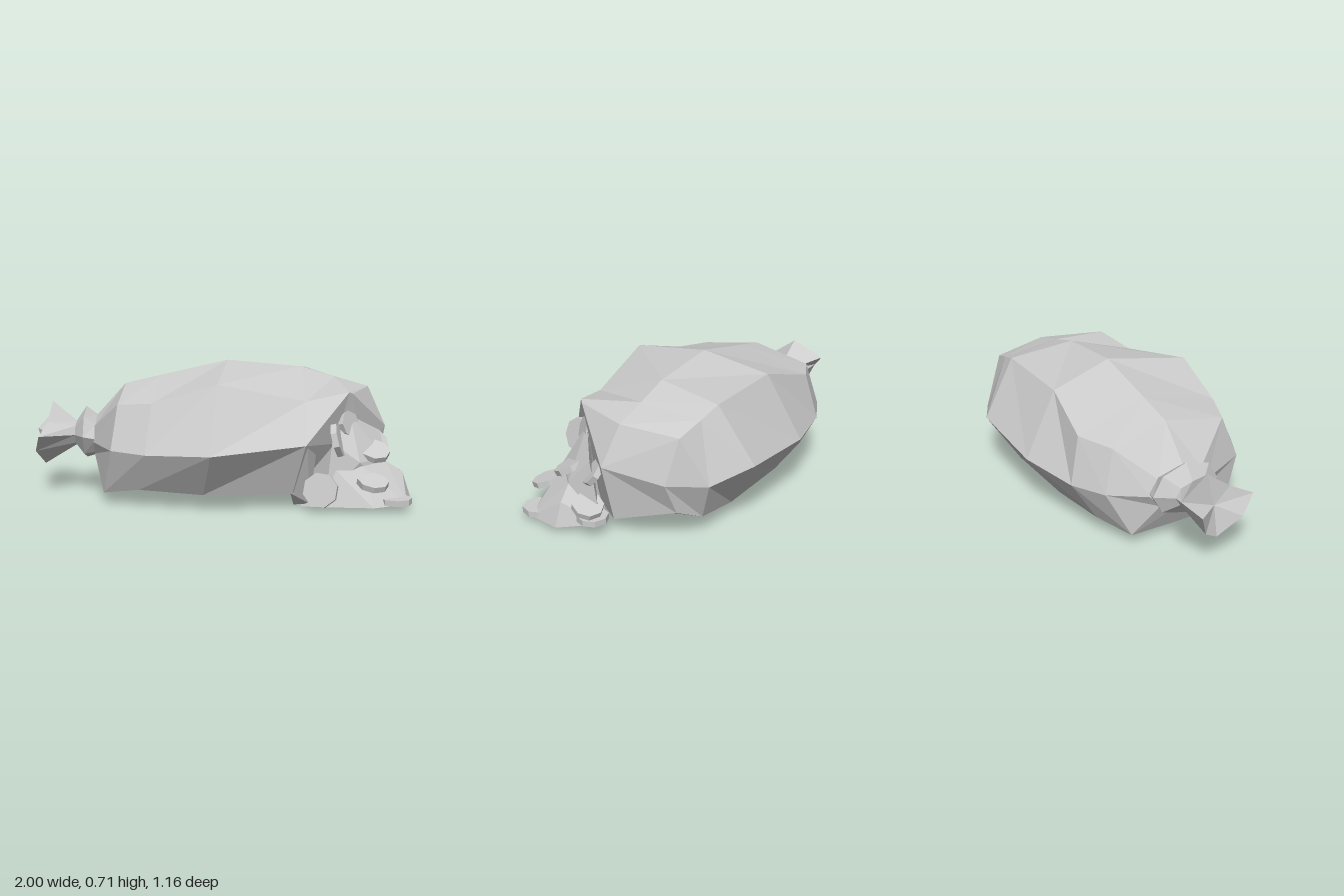
import * as THREE from 'three';
import { ConvexGeometry } from 'three/addons/geometries/ConvexGeometry.js';

// Skins 8-point rings running along +x, splitting front and back faces as mirror images.
function loft(rings, startPole, endPole) {
  const pos = [];
  const tri = (a, b, c) => pos.push(...a, ...b, ...c);
  for (let j = 0; j < 8; j++) {
    const k = (j + 1) % 8;
    for (let i = 0; i < rings.length - 1; i++) {
      const a = rings[i][j], b = rings[i][k], c = rings[i + 1][k], d = rings[i + 1][j];
      if (j < 4) {
        tri(a, b, d);
        tri(b, c, d);
      } else {
        tri(a, b, c);
        tri(a, c, d);
      }
    }
    const last = rings[rings.length - 1];
    if (startPole) tri(startPole, rings[0][k], rings[0][j]);
    if (endPole) tri(endPole, last[j], last[k]);
  }
  const geo = new THREE.BufferGeometry();
  geo.setAttribute('position', new THREE.Float32BufferAttribute(pos, 3));
  geo.computeVertexNormals();
  return geo;
}

// Sack section, each row [x, y, front z, back z] for shoulder, side and base, plus crown and keel [x, y].
function sackRing(crown, shoulder, side, base, keel) {
  const front = ([x, y, z]) => [x, y, z];
  const back = ([x, y, , z]) => [x, y, z];
  return [
    [...crown, -0.05], front(shoulder), front(side), front(base),
    [...keel, -0.04], back(base), back(side), back(shoulder),
  ];
}

// Round section of the gathered neck
function neckRing(x, y, z, ry, rz) {
  return Array.from({ length: 8 }, (_, j) => {
    const a = (j / 8) * Math.PI * 2;
    return [x, y + Math.cos(a) * ry, z + Math.sin(a) * rz];
  });
}

const hull = (points) => new ConvexGeometry(points.map((p) => new THREE.Vector3(...p)));

export function createModel() {
  const cloth = new THREE.MeshStandardMaterial({ color: 0xcccccc, flatShading: true, side: THREE.DoubleSide });
  cloth.name = 'paleGrey';
  const group = new THREE.Group();
  group.name = 'spilledSack';
  const add = (name, geo, parent = group) => {
    const mesh = new THREE.Mesh(geo, cloth);
    mesh.name = name;
    parent.add(mesh);
    return mesh;
  };

  // Sack body, dented at the front right corner where it is torn open
  const rim = sackRing([0.44, 0.68], [0.45, 0.545, 0.33, -0.4], [0.44, 0.345, 0.49, -0.585], [0.38, 0.08, 0.39, -0.42], [0.42, 0.055]);
  rim[7] = [0.48, 0.64, -0.4];
  add('sackBody', loft([
    sackRing([-0.66, 0.41], [-0.66, 0.37, 0.06, -0.19], [-0.66, 0.29, 0.1, -0.24], [-0.66, 0.22, 0.05, -0.18], [-0.66, 0.2]),
    sackRing([-0.5, 0.588], [-0.51, 0.52, 0.29, -0.36], [-0.54, 0.295, 0.37, -0.42], [-0.59, 0.055, 0.26, -0.3], [-0.59, 0.05]),
    sackRing([-0.3, 0.635], [-0.33, 0.535, 0.36, -0.45], [-0.36, 0.29, 0.465, -0.51], [-0.4, 0.09, 0.35, -0.39], [-0.4, 0.07]),
    sackRing([0.05, 0.715], [0, 0.638, 0.4, -0.4], [-0.03, 0.305, 0.58, -0.585], [-0.07, 0.08, 0.42, -0.42], [-0.05, 0.065]),
    rim,
    [
      [0.62, 0.625, -0.05], [0.67, 0.585, 0.28], [0.6, 0.32, 0.28], [0.6, 0.06, 0.25],
      [0.65, 0.055, -0.05], [0.62, 0.1, -0.4], [0.67, 0.3, -0.47], [0.6, 0.6, -0.38],
    ],
    [
      [0.8, 0.575, -0.05], [0.69, 0.575, 0.26], [0.72, 0.32, 0.18], [0.7, 0.06, 0.15],
      [0.84, 0.08, -0.03], [0.74, 0.155, -0.33], [0.81, 0.32, -0.31], [0.74, 0.55, -0.35],
    ],
  ], null, [0.89, 0.37, 0]));

  // Tied neck
  const throat = neckRing(-0.77, 0.315, -0.07, 0.065, 0.095);
  add('tiedNeck', loft([
    throat,
    neckRing(-0.715, 0.32, -0.07, 0.14, 0.19),
    neckRing(-0.65, 0.305, -0.07, 0.105, 0.17),
  ], [-0.77, 0.315, -0.07], [-0.65, 0.305, -0.07]));

  // Flared, uneven cloth end
  add('clothTail', loft([
    [
      [-0.9, 0.485, -0.08], [-0.91, 0.39, 0.05], [-0.94, 0.33, 0.17], [-0.97, 0.24, 0.09],
      [-0.94, 0.15, -0.04], [-0.96, 0.2, -0.12], [-1, 0.32, -0.17], [-0.93, 0.4, -0.245],
    ],
    throat,
  ], [-0.91, 0.31, -0.04]));

  // Heap in the mouth of the tear and the wider skirt spilling from it
  add('upperHeap', hull([
    [0.68, 0.46, 0.24], [0.58, 0.34, 0.36], [0.85, 0.36, 0.1], [0.87, 0.23, 0.22], [0.72, 0.24, 0.37],
    [0.55, 0.05, 0.38], [0.87, 0.06, 0.03], [0.88, 0.06, 0.25],
  ]));
  add('lowerHeap', hull([
    [0.42, 0, 0.32], [0.54, 0.02, 0.42], [0.6, 0.2, 0.37], [0.74, 0.22, 0.36], [0.87, 0.22, 0.22],
    [0.96, 0.16, 0.2], [1, 0.035, 0.21], [0.96, 0.03, 0.4], [0.78, 0.03, 0.48], [0.87, 0.05, 0.02],
  ]));
  // Torn flap hanging beside the heap
  add('tornFlap', hull([
    [0.37, 0.085, 0.39], [0.39, 0.01, 0.32], [0.45, 0.33, 0.47], [0.5, 0.3, 0.38], [0.47, 0.02, 0.34], [0.4, 0.06, 0.28],
  ]));

  // Loose coins: centre, facing direction, radius
  const coins = new THREE.Group();
  coins.name = 'coins';
  group.add(coins);
  const coinGeo = new THREE.CylinderGeometry(1, 1, 0.03, 8);
  const up = new THREE.Vector3(0, 1, 0);
  [
    [[0.52, 0.11, 0.43], [-0.3, 0.25, 1], 0.09],
    [[0.61, 0.35, 0.35], [0.9, 0.25, 0.2], 0.09],
    [[0.8, 0.28, 0.26], [0.15, 0.9, 0.45], 0.085],
    [[0.78, 0.15, 0.43], [0.1, 0.95, 0.3], 0.08],
    [[0.9, 0.05, 0.39], [0, 1, 0], 0.085],
    [[0.88, 0.08, 0.07], [0, 1, 0], 0.08],
    [[0.89, 0.14, 0.09], [0.2, 0.95, -0.35], 0.08],
    [[0.83, 0.3, 0.09], [0.5, 0.6, 0.6], 0.075],
    [[0.67, 0.42, 0.26], [0.6, 0.2, 0.5], 0.07],
  ].forEach(([centre, facing, r]) => {
    const coin = add('coin', coinGeo, coins);
    coin.position.set(...centre);
    coin.quaternion.setFromUnitVectors(up, new THREE.Vector3(...facing).normalize());
    coin.scale.set(r, 1, r);
  });

  return group;
}
